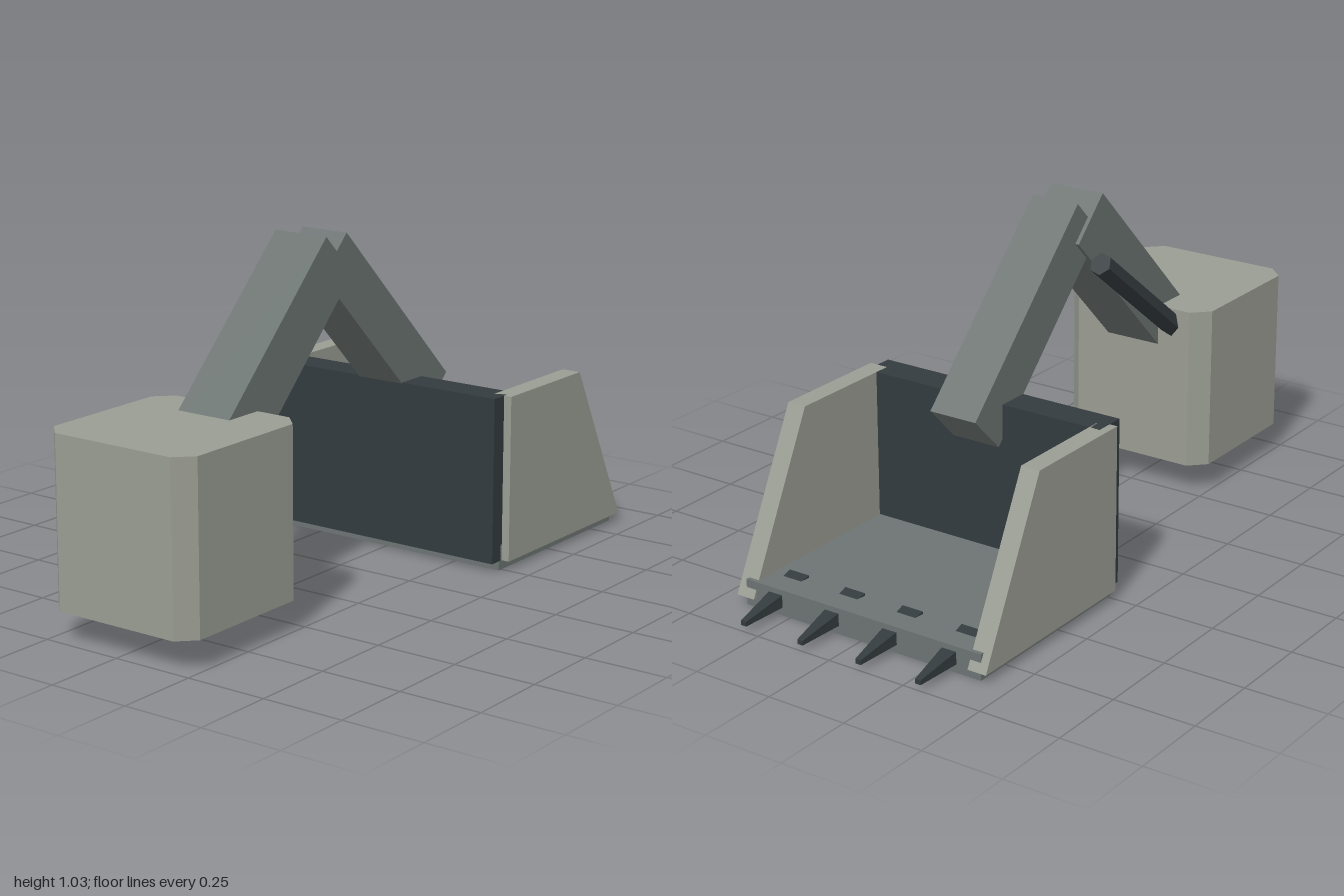
import * as THREE from 'three';

const paint = (color) => new THREE.MeshStandardMaterial({ color, flatShading: true });

export function createModel() {
  const model = new THREE.Group();
  model.name = 'excavatorArm';
  const light = paint(0x9a9d93);
  const steel = paint(0x6c7472);
  const dark = paint(0x333b3e);

  const add = (name, geometry, material, x = 0, y = 0, z = 0) => {
    const mesh = new THREE.Mesh(geometry, material);
    mesh.name = name;
    mesh.position.set(x, y, z);
    model.add(mesh);
    return mesh;
  };
  const extrude = (points, depth) => new THREE.ExtrudeGeometry(
    new THREE.Shape(points.map(([a, b]) => new THREE.Vector2(a, b))),
    { depth, bevelEnabled: false }
  ).translate(0, 0, -depth / 2);

  // Base block with chamfered upright corners
  const r = 0.25, c = 0.2;
  const octagon = [[r, -c], [r, c], [c, r], [-c, r], [-r, c], [-r, -c], [-c, -r], [c, -r]];
  add('baseBlock', extrude(octagon, 0.5).rotateX(-Math.PI / 2), light, 0, 0.34, 0.75);

  // Two beams meeting at the elbow
  add('boom', new THREE.BoxGeometry(0.18, 0.174, 0.75), steel, 0, 0.7, 0.39).rotation.x = Math.PI / 4;
  add('dipperArm', new THREE.BoxGeometry(0.156, 0.156, 0.714), steel, 0, 0.713, -0.122).rotation.x = -Math.PI / 4;

  // Six-sided ram beside the boom
  const ram = new THREE.CylinderGeometry(0.035, 0.035, 0.52, 6).rotateY(Math.PI / 12);
  add('hydraulicRam', ram, dark, -0.128, 0.679, 0.326).rotation.x = -0.915;

  // Bucket floor and back wall
  add('bucketFloor', new THREE.BoxGeometry(0.81, 0.078, 0.627), steel, 0, 0.039, -0.549);
  add('bucketBack', new THREE.BoxGeometry(0.81, 0.5, 0.1), dark, 0, 0.278, -0.25);

  // Bucket sides, profile in z and y
  const side = [[-0.875, 0.028], [-0.25, 0.028], [-0.25, 0.528], [-0.625, 0.528]];
  for (const s of [1, -1]) {
    add(s > 0 ? 'bucketSideLeft' : 'bucketSideRight',
      extrude(side, 0.06).rotateY(-Math.PI / 2), light, s * 0.4);
  }

  // Tapered teeth, drooping towards the tip
  const tooth = new THREE.BoxGeometry(1, 1, 1);
  const p = tooth.attributes.position;
  for (let i = 0; i < p.count; i++) {
    const tip = p.getZ(i) < 0, top = p.getY(i) > 0;
    p.setXYZ(i, Math.sign(p.getX(i)) * (tip ? 0.009 : 0.035),
      tip ? (top ? 0.032 : 0.018) : (top ? 0.085 : 0.03),
      tip ? -1 : (top ? -0.757 : -0.77));
  }
  tooth.computeVertexNormals();
  for (const x of [-0.3, -0.1, 0.1, 0.3]) add('tooth', tooth, dark, x);

  return model;
}
